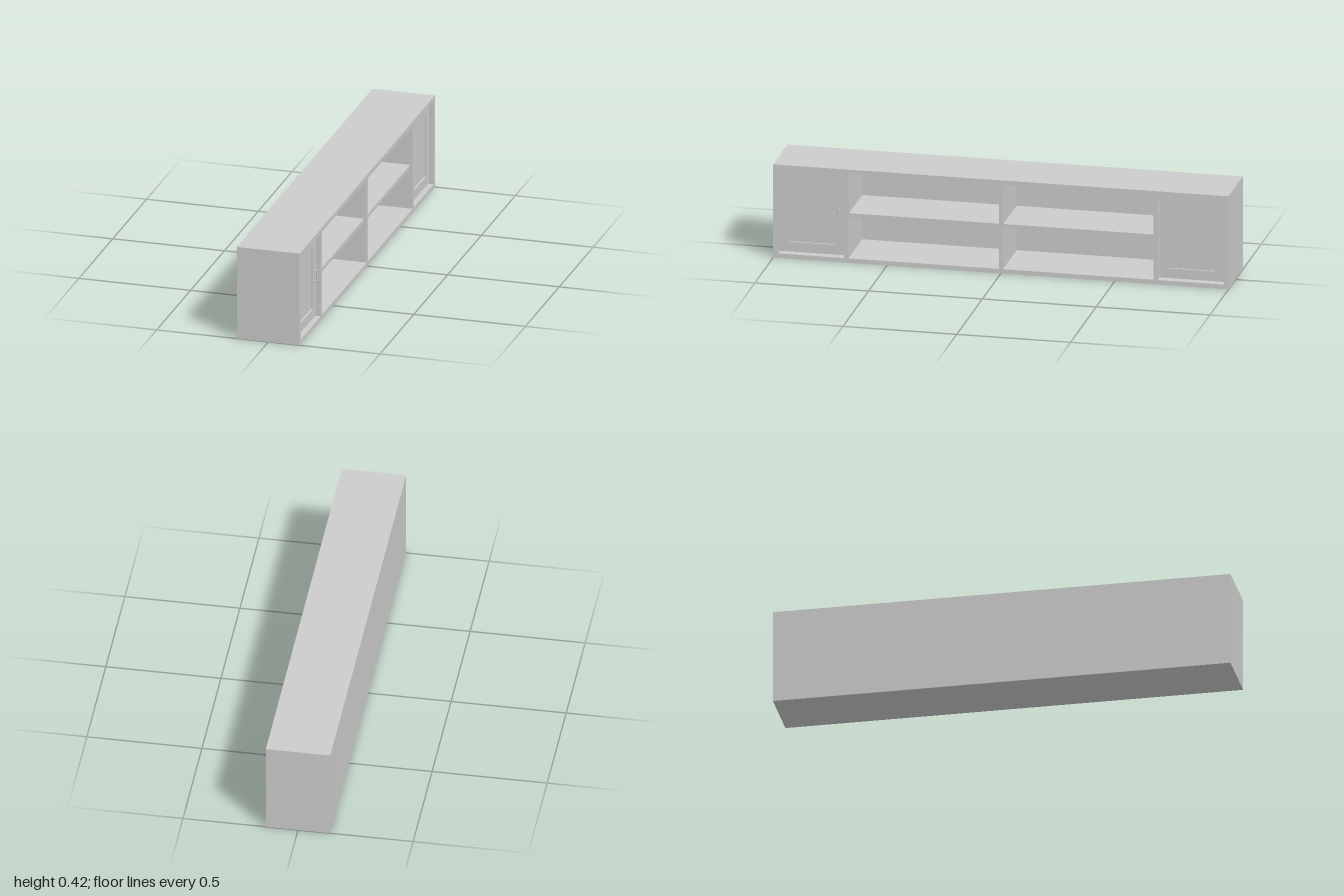
import * as THREE from 'three';

const mat = new THREE.MeshStandardMaterial({ color: 0xcccccc });

// box given by its min and max on each axis
function box(name, [x0, x1], [y0, y1], [z0, z1]) {
  const m = new THREE.Mesh(new THREE.BoxGeometry(x1 - x0, y1 - y0, z1 - z0), mat);
  m.position.set((x0 + x1) / 2, (y0 + y1) / 2, (z0 + z1) / 2);
  m.name = name;
  return m;
}

function rect(target, x0, x1, y0, y1) {
  target.moveTo(x0, y0);
  target.lineTo(x1, y0);
  target.lineTo(x1, y1);
  target.lineTo(x0, y1);
  target.closePath();
  return target;
}

// framed door with a recessed panel and bar handle; side is +1 or -1 along z
function makeDoor(side) {
  const door = new THREE.Group();
  door.name = side > 0 ? 'frontDoor' : 'backDoor';
  const span = (a, b) => (side > 0 ? [a, b] : [-b, -a]);
  const outer = span(0.694, 0.976), inner = span(0.735, 0.935);

  const shape = rect(new THREE.Shape(), ...outer, 0.026, 0.394);
  shape.holes.push(rect(new THREE.Path(), ...inner, 0.07, 0.355));
  const geo = new THREE.ExtrudeGeometry(shape, { depth: 0.02, bevelEnabled: false });
  geo.rotateY(-Math.PI / 2); // shape x runs along z, depth runs towards -x
  const frame = new THREE.Mesh(geo, mat);
  frame.position.x = 0.12;
  frame.name = 'doorFrame';
  door.add(frame, box('doorPanel', [0.102, 0.112], [0.065, 0.36], span(0.73, 0.94)));

  // handle: upright bar on two posts
  const handle = new THREE.Group();
  handle.name = 'handle';
  const bar = new THREE.Mesh(new THREE.CylinderGeometry(0.003, 0.003, 0.056, 12), mat);
  bar.position.set(0.133, 0.213, side * 0.714);
  bar.name = 'handleBar';
  handle.add(bar);
  for (const y of [0.19, 0.236]) {
    const post = new THREE.Mesh(new THREE.CylinderGeometry(0.0035, 0.0035, 0.014, 12), mat);
    post.rotation.z = Math.PI / 2;
    post.position.set(0.126, y, side * 0.714);
    post.name = 'handlePost';
    handle.add(post);
  }
  door.add(handle);
  return door;
}

export function createModel() {
  const cabinet = new THREE.Group();
  cabinet.name = 'cabinet';
  const depth = [-0.14, 0.14], inside = [0.02, 0.4];

  // carcass
  cabinet.add(
    box('topPanel', depth, [0.4, 0.42], [-1, 1]),
    box('bottomPanel', depth, [0, 0.02], [-1, 1]),
    box('rearPanel', [-0.14, -0.13], inside, [-0.98, 0.98]),
    box('centreDivider', [-0.13, 0.14], inside, [-0.009, 0.009])
  );

  // mirrored end panels, dividers, shelves and doors
  for (const side of [1, -1]) {
    const span = (a, b) => (side > 0 ? [a, b] : [-b, -a]);
    cabinet.add(
      box('endPanel', depth, inside, span(0.98, 1)),
      box('sideDivider', [-0.13, 0.14], inside, span(0.67, 0.69)),
      box('shelf', [-0.13, 0.128], [0.202, 0.22], span(0.009, 0.67)),
      makeDoor(side)
    );
  }
  return cabinet;
}
